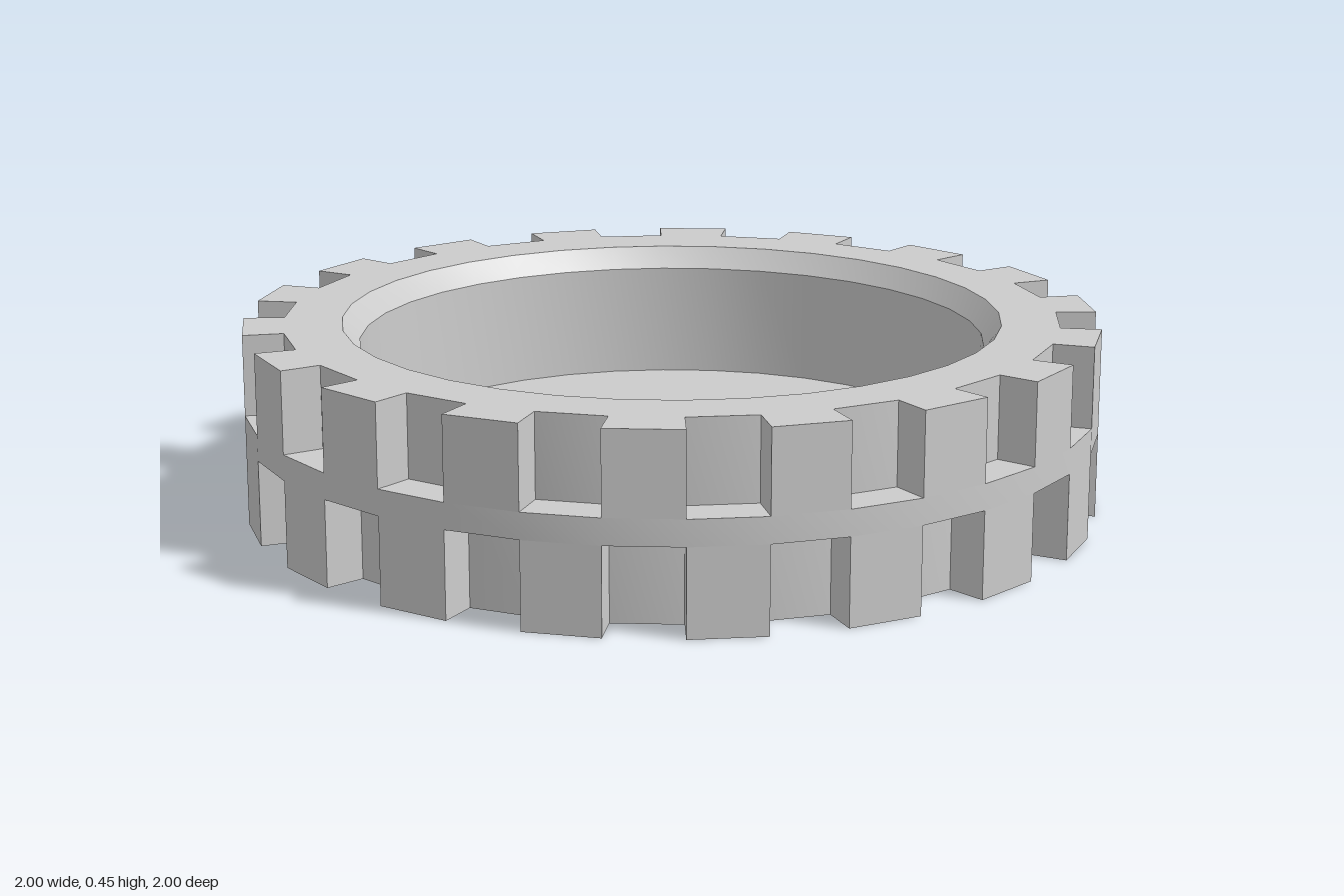
import * as THREE from 'three';
import { toCreasedNormals } from 'three/addons/utils/BufferGeometryUtils.js';

const SIDES = 36, STEP = (Math.PI * 2) / SIDES;
const OUTER = 1, CORE = 0.905, HEIGHT = 0.45;
const BAND_LOW = 0.2, BAND_HIGH = 0.26;

// One tread block: a ten degree sector between the core and the outer radius
function blockGeometry(height) {
  const at = (r, a) => new THREE.Vector2(r * Math.sin(a), -r * Math.cos(a));
  const shape = new THREE.Shape([at(CORE, 0), at(OUTER, 0), at(OUTER, STEP), at(CORE, STEP)]);
  return new THREE.ExtrudeGeometry(shape, { depth: height, bevelEnabled: false }).rotateX(-Math.PI / 2);
}

// A ring of blocks on every second sector
function treadRow(name, y, height, offset, material) {
  const row = new THREE.Group();
  row.name = name;
  const geometry = blockGeometry(height);
  for (let i = offset; i < SIDES; i += 2) {
    const block = new THREE.Mesh(geometry, material);
    block.name = 'treadBlock';
    block.position.y = y;
    block.rotation.y = i * STEP;
    row.add(block);
  }
  return row;
}

export function createModel() {
  const grey = new THREE.MeshStandardMaterial({ color: 0xcccccc });
  grey.name = 'light grey';
  const model = new THREE.Group();
  model.name = 'treadedWheel';

  // Core: shallow recess below, raised middle band, bevelled lip and deep well above
  const profile = [
    [0, 0.035], [0.73, 0.035], [0.78, 0], [CORE, 0], [CORE, BAND_LOW],
    [OUTER, BAND_LOW], [OUTER, BAND_HIGH], [CORE, BAND_HIGH], [CORE, HEIGHT],
    [0.77, HEIGHT], [0.73, 0.4], [0.725, 0.13], [0, 0.13],
  ].map(([r, y]) => new THREE.Vector2(r, y));
  const core = new THREE.Mesh(toCreasedNormals(new THREE.LatheGeometry(profile, SIDES), 0.65), grey);
  core.name = 'wheelCore';
  model.add(core);

  // Two staggered rows of tread blocks
  model.add(treadRow('upperTread', BAND_HIGH, HEIGHT - BAND_HIGH, 0, grey));
  model.add(treadRow('lowerTread', 0, BAND_LOW, 1, grey));
  return model;
}
